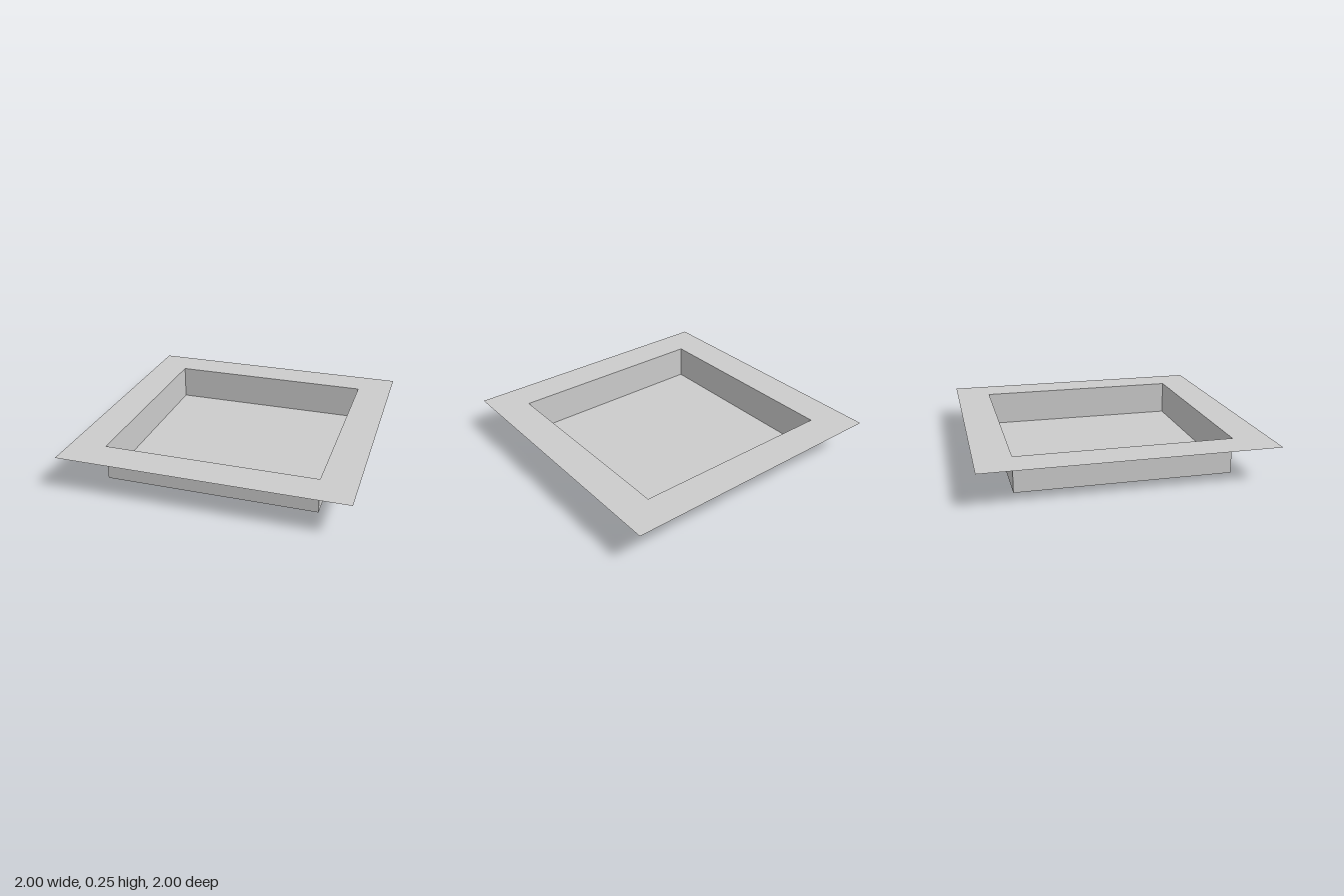
import * as THREE from 'three';

const OUTER = 2, INNER = 1.5, DEPTH = 0.25;

export function createModel() {
  const model = new THREE.Group();
  model.name = 'recessedTray';
  const grey = new THREE.MeshStandardMaterial({ color: 0xcccccc, side: THREE.DoubleSide });
  grey.name = 'light grey';

  const add = (name, geometry) => {
    const mesh = new THREE.Mesh(geometry, grey);
    mesh.name = name;
    model.add(mesh);
    return mesh;
  };

  // Flat square rim with a square opening
  const square = (Type, size) => {
    const h = size / 2;
    return new Type([[-h, -h], [h, -h], [h, h], [-h, h]].map(([x, y]) => new THREE.Vector2(x, y)));
  };
  const rimShape = square(THREE.Shape, OUTER);
  rimShape.holes.push(square(THREE.Path, INNER));
  add('rim', new THREE.ShapeGeometry(rimShape).rotateX(-Math.PI / 2)).position.y = DEPTH;

  // Tray floor
  add('floor', new THREE.PlaneGeometry(INNER, INNER).rotateX(-Math.PI / 2));

  // Four thin walls joining the floor to the rim
  ['frontWall', 'leftWall', 'backWall', 'rightWall'].forEach((name, i) => {
    const wall = new THREE.PlaneGeometry(INNER, DEPTH);
    wall.translate(0, DEPTH / 2, INNER / 2).rotateY(i * Math.PI / 2);
    add(name, wall);
  });

  return model;
}
